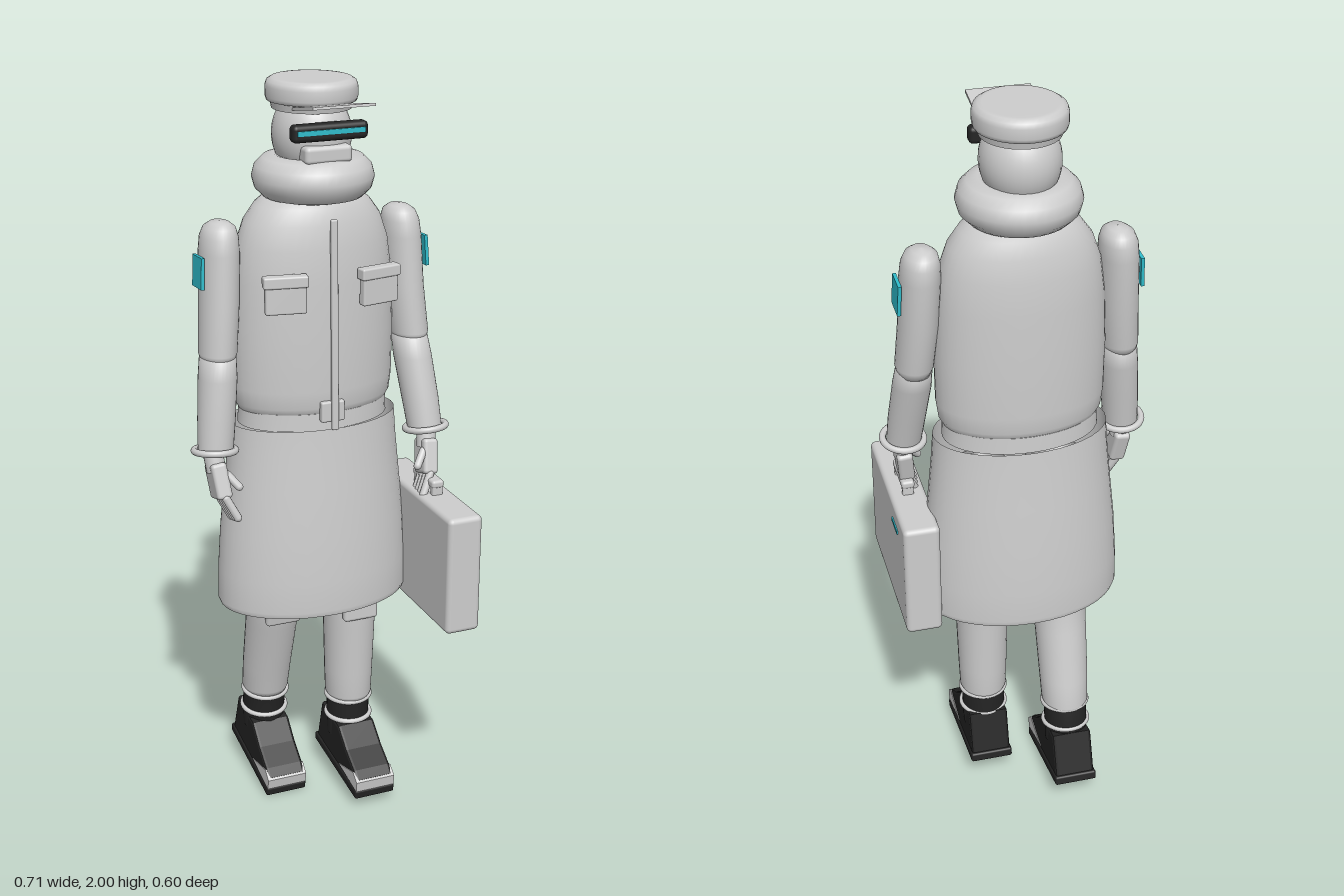
import * as THREE from 'three';
import { RoundedBoxGeometry } from 'three/addons/geometries/RoundedBoxGeometry.js';

const make = (name, color, side = THREE.FrontSide) => {
  const m = new THREE.MeshStandardMaterial({ color, side });
  m.name = name;
  return m;
};

// Skin over horizontal ellipses [x, y, z, rx, rz], listed from bottom to top.
// A repeated ring makes a sharp edge.
function loft(rings, n = 32) {
  const pos = [], idx = [];
  rings.forEach(([x, y, z, rx, rz], k) => {
    for (let i = 0; i < n; i++) {
      const a = (i / n) * Math.PI * 2;
      pos.push(x + rx * Math.cos(a), y, z + rz * Math.sin(a));
      if (k === rings.length - 1) continue;
      const p = k * n + i, q = k * n + (i + 1) % n;
      idx.push(p, p + n, q, q, p + n, q + n);
    }
  });
  const g = new THREE.BufferGeometry();
  g.setAttribute('position', new THREE.Float32BufferAttribute(pos, 3));
  g.setIndex(idx);
  g.computeVertexNormals();
  return g;
}

// Side profile in (z, y), extruded across x
function sideProfile(points, width, bevel = 0) {
  const shape = new THREE.Shape(points.map(([z, y]) => new THREE.Vector2(z, y)));
  const depth = width - 2 * bevel;
  const g = new THREE.ExtrudeGeometry(shape, {
    depth, bevelEnabled: bevel > 0, bevelSize: bevel, bevelThickness: bevel, bevelOffset: -bevel, bevelSegments: 2,
  });
  return g.translate(0, 0, -depth / 2).rotateY(-Math.PI / 2);
}

const rbox = (w, h, d, r = 0.005) => new RoundedBoxGeometry(w, h, d, 3, r);
const ring = (R, r) => new THREE.TorusGeometry(R, r, 12, 40).rotateX(Math.PI / 2);

export function createModel() {
  const root = new THREE.Group();
  root.name = 'courier';
  const cloth = make('light grey cloth', 0xcdcdcd);
  const skirt = make('light grey coat', 0xcdcdcd, THREE.DoubleSide);
  const black = make('black', 0x242424);
  const cyan = make('cyan', 0x2fbccb);

  const add = (name, geo, mat, p = [0, 0, 0], r = [0, 0, 0], parent = root) => {
    const m = new THREE.Mesh(geo, mat);
    m.name = name;
    m.position.set(...p);
    m.rotation.set(...r);
    parent.add(m);
    return m;
  };
  const group = (name, p, r = [0, 0, 0]) => {
    const g = new THREE.Group();
    g.name = name;
    g.position.set(...p);
    g.rotation.set(...r);
    root.add(g);
    return g;
  };
  const ZC = -0.055;
  const body = (list) => loft(list.map(([y, rx, rz]) => [0, y, ZC, rx, rz]), 40);

  // Cap
  add('cap', body([[1.925, 0.001, 0.001], [1.925, 0.1, 0.105], [1.925, 0.1, 0.105], [1.945, 0.104, 0.11],
    [1.945, 0.104, 0.11], [1.945, 0.112, 0.12], [1.955, 0.115, 0.124], [1.98, 0.115, 0.124], [1.992, 0.111, 0.12],
    [1.999, 0.1, 0.108], [2, 0.09, 0.097], [2, 0.001, 0.001]]), cloth);
  add('capVisor', new THREE.BoxGeometry(0.163, 0.007, 0.135), cloth, [0.003, 1.947, 0.08], [-0.17, 0, 0]);

  // Head and face
  const head = add('head', new THREE.SphereGeometry(1, 32, 24), cloth, [0, 1.86, ZC]);
  head.scale.set(0.1, 0.115, 0.11);
  add('goggles', rbox(0.2, 0.044, 0.036, 0.012), black, [0, 1.884, 0.058]);
  add('goggleLight', new THREE.BoxGeometry(0.18, 0.012, 0.006), cyan, [0, 1.886, 0.076]);
  add('faceMask', rbox(0.125, 0.045, 0.06, 0.012), cloth, [0, 1.826, 0.035]);

  // Padded collar
  add('collar', ring(0.1, 0.056), cloth, [0, 1.757, -0.046]);

  // Jacket, belt and coat skirt
  add('jacket', body([[1.138, 0.001, 0.001], [1.14, 0.175, 0.11], [1.152, 0.2, 0.126], [1.175, 0.213, 0.134],
    [1.22, 0.219, 0.137], [1.35, 0.221, 0.138], [1.5, 0.215, 0.137], [1.59, 0.203, 0.132], [1.65, 0.182, 0.122],
    [1.69, 0.153, 0.11], [1.715, 0.12, 0.095], [1.74, 0.001, 0.001]]), cloth);
  add('belt', body([[1.115, 0.001, 0.001], [1.115, 0.205, 0.132], [1.115, 0.205, 0.132],
    [1.16, 0.203, 0.13], [1.16, 0.203, 0.13], [1.16, 0.001, 0.001]]), cloth);
  add('coatSkirt', body([[0.6, 0.262, 0.174], [0.615, 0.268, 0.178], [0.7, 0.266, 0.176], [0.82, 0.258, 0.169],
    [0.95, 0.244, 0.158], [1.05, 0.234, 0.149], [1.12, 0.229, 0.144]]), skirt);
  add('zipper', rbox(0.018, 0.55, 0.014, 0.004), cloth, [0.003, 1.395, 0.09], [-0.022, 0, 0]);
  add('buckle', rbox(0.065, 0.055, 0.02), cloth, [0, 1.168, 0.083]);

  for (const s of [1, -1]) {
    const side = s > 0 ? 'left' : 'right';
    const wz = s > 0 ? 0.037 : -0.008;
    const ez = s > 0 ? -0.03 : -0.036;

    // Chest pocket
    const pocket = group(side + 'Pocket', [s * 0.127, 1.49, 0.084], [0, s * 0.18, 0]);
    add('pocketBag', rbox(0.105, 0.095, 0.024), cloth, [0, 0, 0], [0, 0, 0], pocket);
    add('pocketFlap', rbox(0.115, 0.03, 0.032), cloth, [0, 0.035, 0], [0, 0, 0], pocket);

    // Sleeve
    add(side + 'UpperSleeve', loft([[s * 0.268, 1.3, ez, 0.001, 0.001], [s * 0.268, 1.305, ez, 0.043, 0.055],
      [s * 0.267, 1.325, ez, 0.049, 0.061], [s * 0.257, 1.45, -0.048, 0.051, 0.064], [s * 0.251, 1.58, -0.057, 0.051, 0.067],
      [s * 0.249, 1.62, -0.06, 0.048, 0.063], [s * 0.247, 1.643, -0.061, 0.04, 0.053],
      [s * 0.246, 1.655, -0.061, 0.024, 0.034], [s * 0.246, 1.659, -0.061, 0.001, 0.001]]), cloth);
    add(side + 'LowerSleeve', loft([[s * 0.288, 1.065, wz, 0.001, 0.001], [s * 0.288, 1.065, wz, 0.046, 0.047],
      [s * 0.288, 1.065, wz, 0.046, 0.047], [s * 0.281, 1.15, wz * 0.7 + ez * 0.3, 0.049, 0.052],
      [s * 0.271, 1.26, wz * 0.25 + ez * 0.75, 0.05, 0.058], [s * 0.267, 1.32, ez, 0.046, 0.057],
      [s * 0.266, 1.335, ez, 0.001, 0.001]]), cloth);
    add(side + 'Cuff', ring(0.054, 0.009), cloth, [s * 0.29, 1.069, wz], [-0.15, 0, s * 0.06]);
    add(side + 'ArmPatch', new THREE.BoxGeometry(0.009, 0.08, 0.07), cyan,
      [s * 0.308, 1.535, -0.05], [-0.06, 0, s * 0.05]);

    // Gloved hand
    const hand = group(side + 'Hand', [s * 0.287, 0.99, wz + 0.015], [-0.27, 0, -s * 0.1]);
    add('wrist', new THREE.CylinderGeometry(0.026, 0.026, 0.07, 20), cloth, [0, 0.06, 0], [0, 0, 0], hand);
    add('palm', rbox(0.042, 0.095, 0.072, 0.01), cloth, [0, 0, 0], [0, 0, 0], hand);
    for (let i = 0; i < 4; i++) {
      add('finger', new THREE.CapsuleGeometry(0.011, 0.06, 4, 10), cloth,
        [-s * 0.012, -0.075, -0.026 + i * 0.018], [0, 0, -s * 0.35], hand);
    }
    add('thumb', new THREE.CapsuleGeometry(0.011, 0.045, 4, 10), cloth, [-s * 0.03, -0.005, 0.028], [-0.3, 0, -s * 0.5], hand);

    // Trouser leg, knee pad and ankle; the left leg steps forward
    const kz = s > 0 ? -0.037 : -0.082;
    const az = s > 0 ? -0.042 : -0.162;
    const x = s * 0.103;
    add(side + 'Leg', loft([[x, 0.262, az, 0.001, 0.001], [x, 0.262, az, 0.058, 0.064], [x, 0.275, az, 0.064, 0.069],
      [x, 0.35, az * 0.8 + kz * 0.2, 0.067, 0.071], [x, 0.5, az * 0.3 + kz * 0.7, 0.071, 0.077],
      [x, 0.6, kz, 0.073, 0.082], [x, 0.8, (kz + ZC) / 2, 0.08, 0.09], [x, 1, ZC, 0.085, 0.095],
      [x, 1.05, ZC, 0.001, 0.001]]), cloth);
    add(side + 'KneePad', rbox(0.1, 0.12, 0.025, 0.01), cloth, [x, 0.59, kz + 0.075], [s > 0 ? 0 : 0.2, 0, 0]);
    const bz = s > 0 ? -0.045 : -0.178;
    add(side + 'Ankle', loft([[x, 0.14, bz, 0.057, 0.06], [x, 0.2, bz, 0.059, 0.063],
      [x, 0.27, az, 0.059, 0.063]]), black);
    [0.262, 0.202].forEach((y, i) =>
      add(side + 'AnkleRing', ring(0.061, 0.007), cloth, [x, y, i ? bz + 0.004 : az], [s > 0 ? 0.03 : 0.12, 0, 0]));

    // Boot
    const boot = group(side + 'Boot', s > 0 ? [x, 0.048, 0.002] : [x, 0.032, -0.148], [s > 0 ? 0.12 : 0.2, 0, 0]);
    add('sole', rbox(0.118, 0.026, 0.3, 0.006), black, [0, 0.013, 0], [0, 0, 0], boot);
    add('upper', sideProfile([[-0.143, 0.02], [0.143, 0.02], [0.143, 0.06], [0.12, 0.077], [0.06, 0.105],
      [0, 0.145], [-0.125, 0.145]], 0.11, 0.008), black, [0, 0, 0], [0, 0, 0], boot);
    add('toeCap', sideProfile([[0.02, 0.032], [0.149, 0.026], [0.149, 0.056], [0.12, 0.073]], 0.114),
      cloth, [0, 0, 0], [0, 0, 0], boot);
  }

  // Briefcase carried in the left hand
  const brief = group('briefcase', [0.286, 0.74, 0.071]);
  add('case', rbox(0.097, 0.33, 0.461, 0.014), cloth, [0, 0, 0], [0, 0, 0], brief);
  add('caseLabel', new THREE.BoxGeometry(0.006, 0.011, 0.068), cyan, [0.049, 0.11, -0.112], [0, 0, 0], brief);
  add('handleBar', rbox(0.035, 0.022, 0.125, 0.008), cloth, [0, 0.195, 0], [0, 0, 0], brief);
  for (const e of [1, -1]) {
    add('handlePost', rbox(0.03, 0.04, 0.02, 0.005), cloth, [0, 0.175, e * 0.05], [0, 0, 0], brief);
  }
  return root;
}
